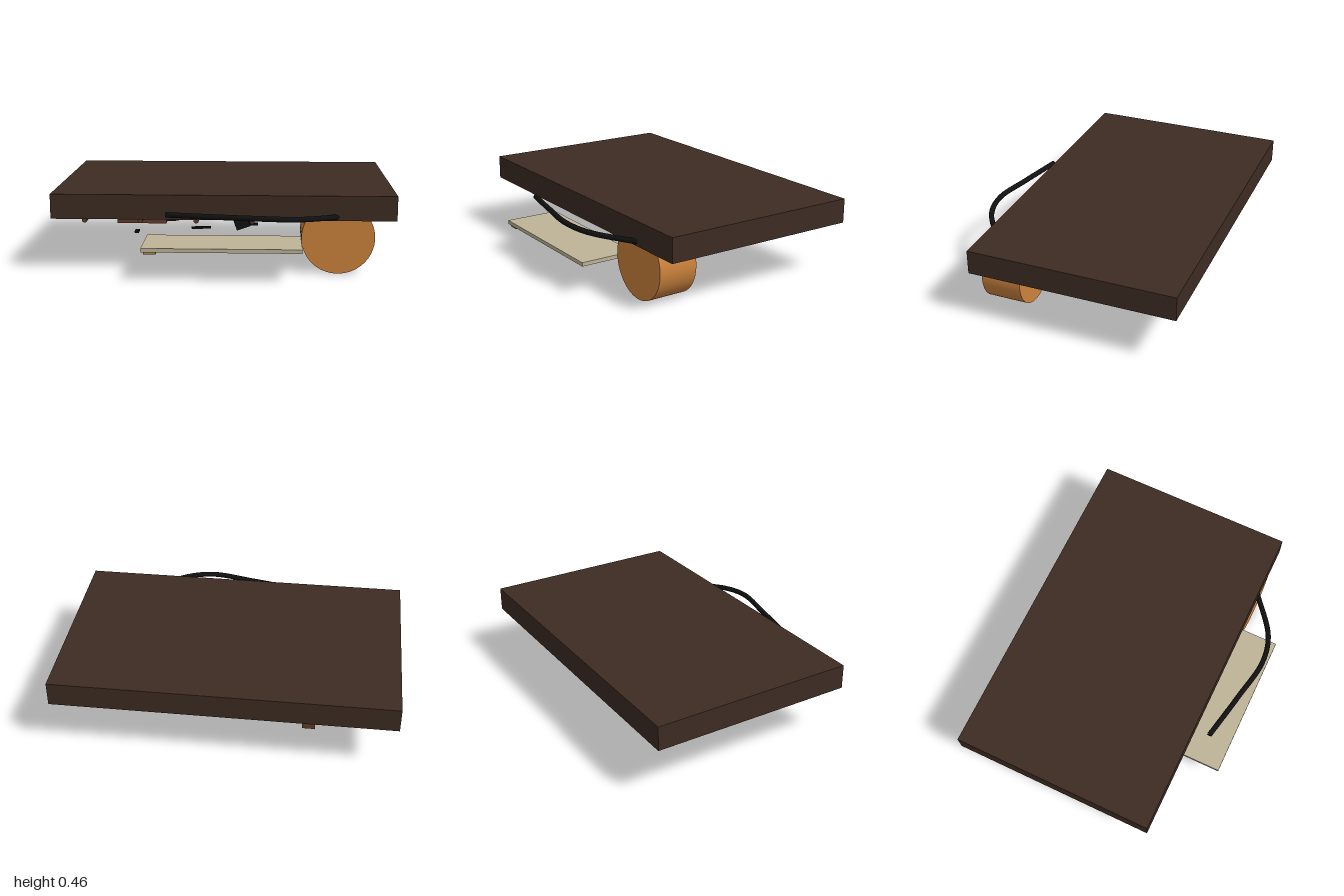
import * as THREE from 'three';

export function createModel() {
  const model = new THREE.Group();
  const mat = (name, color) => {
    const m = new THREE.MeshStandardMaterial({ color });
    m.name = name;
    return m;
  };
  const darkWood = mat('dark wood', 0x3d2c23);
  const orange = mat('orange', 0xcd833d);
  const cream = mat('cream', 0xbfb497);
  const black = mat('black', 0x111111);
  const brown = mat('brown', 0x633c28);
  const brass = mat('brass', 0xb08a40);

  const add = (name, geometry, material, x, y, z) => {
    const mesh = new THREE.Mesh(geometry, material);
    mesh.name = name;
    mesh.position.set(x, y, z);
    model.add(mesh);
    return mesh;
  };
  const box = (name, material, size, pos) =>
    add(name, new THREE.BoxGeometry(...size), material, ...pos);
  // cylinder lying along z
  const rod = (name, material, radius, length, sides, pos) =>
    add(name, new THREE.CylinderGeometry(radius, radius, length, sides).rotateX(Math.PI / 2), material, ...pos);

  // Thick top slab
  box('slab', darkWood, [2, 0.145, 1.225], [0, 0.3875, -0.1125]);

  // Drum below the front corner
  rod('drum', orange, 0.212, 0.24, 64, [0.665, 0.212, 0.37]);

  // Row of pegs
  for (let i = 0; i < 6; i++) {
    rod('peg', brown, 0.015, 0.29, 16, [-0.833 + i * 0.3333, 0.27, 0.185]);
  }

  // Front tray with its brass strip
  box('tray', cream, [0.905, 0.023, 0.335], [0, 0.1865, 0.5525]);
  box('trayStrip', brass, [0.07, 0.015, 0.315], [-0.405, 0.1675, 0.5525]);

  // Cord hanging in front of the slab
  const path = new THREE.CatmullRomCurve3([
    [-0.32, 0.363, 0.59], [-0.03, 0.365, 0.65], [0.24, 0.367, 0.697],
    [0.42, 0.356, 0.66], [0.63, 0.338, 0.51], [0.68, 0.335, 0.47],
  ].map(p => new THREE.Vector3(...p)));
  add('cord', new THREE.TubeGeometry(path, 60, 0.016, 10), black, 0, 0, 0);
  const cordEnd = new THREE.CircleGeometry(0.016, 10).rotateY(-Math.PI / 2);
  add('cordEnd', cordEnd, black, -0.32, 0.363, 0.59);

  // Long tilted bar
  box('bar', black, [0.09, 0.065, 0.615], [0.102, 0.204, -0.215]).rotation.z = 0.34;

  // Mallet shape: cross head and handle
  box('malletHead', brown, [0.31, 0.065, 0.1], [-0.535, 0.203, -0.09]);
  box('malletHandle', brown, [0.075, 0.065, 0.46], [-0.49, 0.2, -0.36]);
  box('malletPin', black, [0.025, 0.012, 0.05], [-0.48, 0.236, -0.1]);

  // Flat clips: x, z, width, depth, turn
  [
    [-0.535, 0.2, 0.025, 0.05, 0],
    [-0.15, 0.09, 0.12, 0.02, 0.1],
    [0.17, -0.02, 0.06, 0.025, 0],
    [-0.35, -0.13, 0.08, 0.03, 0.3],
    [-0.4, -0.43, 0.1, 0.03, 0.2],
    [0.56, -0.18, 0.08, 0.025, 0.3],
    [0.58, -0.36, 0.08, 0.025, -0.3],
  ].forEach(([x, z, w, d, turn]) => {
    box('clip', black, [w, 0.012, d], [x, 0.176, z]).rotation.y = turn;
  });

  return model;
}
